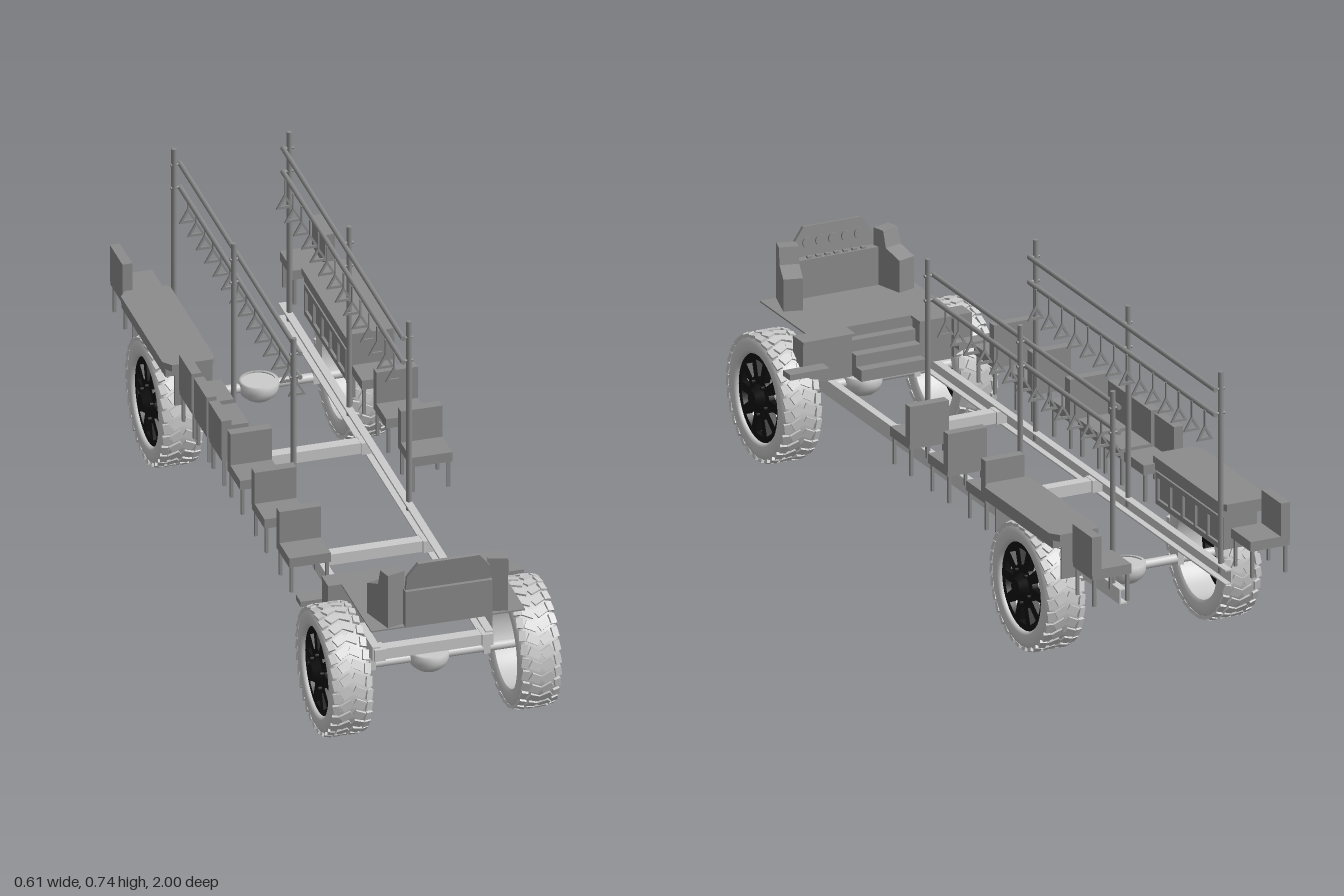
import * as THREE from 'three';
import { mergeGeometries } from 'three/addons/utils/BufferGeometryUtils.js';

const light = new THREE.MeshStandardMaterial({ color: 0xcccccc, side: THREE.DoubleSide });
const dark = new THREE.MeshStandardMaterial({ color: 0x8c8c8c, side: THREE.DoubleSide });
const black = new THREE.MeshStandardMaterial({ color: 0x111111 });

function add(parent, name, geo, mat, x = 0, y = 0, z = 0) {
  const m = new THREE.Mesh(geo, mat);
  m.name = name;
  m.position.set(x, y, z);
  parent.add(m);
  return m;
}

// Box given by its lower and upper limits
function box(parent, name, mat, x0, x1, y0, y1, z0, z1) {
  return add(parent, name, new THREE.BoxGeometry(Math.abs(x1 - x0), y1 - y0, z1 - z0), mat,
    (x0 + x1) / 2, (y0 + y1) / 2, (z0 + z1) / 2);
}

// Round bar between two points
function rod(parent, name, mat, a, b, r, sides = 10) {
  const p = new THREE.Vector3(...a), d = new THREE.Vector3(...b).sub(p);
  const m = add(parent, name, new THREE.CylinderGeometry(r, r, d.length(), sides), mat);
  m.position.copy(p).addScaledVector(d, 0.5);
  m.quaternion.setFromUnitVectors(new THREE.Vector3(0, 1, 0), d.normalize());
  return m;
}

const pts = list => list.map(p => new THREE.Vector2(...p));

// Wheel whose axis is local y; +y is the outer side
function makeWheel() {
  const wheel = new THREE.Group();
  const tyre = pts([[0.114, -0.045], [0.122, -0.052], [0.142, -0.053], [0.156, -0.047], [0.161, -0.036],
    [0.163, 0], [0.161, 0.036], [0.156, 0.047], [0.142, 0.053], [0.122, 0.052], [0.114, 0.045], [0.112, 0], [0.114, -0.045]]);
  add(wheel, 'tyre', new THREE.LatheGeometry(tyre, 56), light);
  // Chevron tread: slanted centre bars and shoulder blocks
  const blocks = [], n = 30;
  for (let i = 0; i < n; i++) for (const s of [-1, 1]) {
    const centre = new THREE.BoxGeometry(0.007, 0.031, 0.022);
    centre.rotateX(s * 0.5).translate(0.1635, s * 0.016, 0);
    const shoulder = new THREE.BoxGeometry(0.009, 0.017, 0.026);
    shoulder.rotateZ(s * 0.25).rotateX(s * 0.15).translate(0.160, s * 0.042, 0.011);
    for (const g of [centre, shoulder]) blocks.push(g.rotateY(i / n * Math.PI * 2));
  }
  add(wheel, 'tread', mergeGeometries(blocks), light);
  // Spoked rim
  const face = new THREE.Shape().absarc(0, 0, 0.114, 0, Math.PI * 2);
  for (let i = 0; i < 10; i++) {
    const a = i / 10 * Math.PI * 2, hole = new THREE.Path();
    hole.absarc(0, 0, 0.098, a - 0.19, a + 0.19, false);
    hole.absarc(0, 0, 0.056, a + 0.1, a - 0.1, true);
    hole.closePath();
    face.holes.push(hole);
  }
  const rim = new THREE.ExtrudeGeometry(face, { depth: 0.016, bevelEnabled: false, curveSegments: 40 });
  add(wheel, 'rim', rim.rotateX(-Math.PI / 2), black, 0, 0.025, 0);
  add(wheel, 'hub', new THREE.CylinderGeometry(0.022, 0.036, 0.022, 24), black, 0, 0.051, 0);
  for (let i = 0; i < 5; i++) {
    const a = i / 5 * Math.PI * 2;
    add(wheel, 'wheelNut', new THREE.CylinderGeometry(0.005, 0.005, 0.01, 6), black, 0.044 * Math.cos(a), 0.045, 0.044 * Math.sin(a));
  }
  return wheel;
}

// Axle with open differential bowl and spring brackets
function makeAxle(z) {
  const axle = new THREE.Group();
  axle.name = 'axle';
  rod(axle, 'axleTube', light, [-0.25, 0.17, 0], [0.25, 0.17, 0], 0.012, 16);
  const bowl = [[0.043, 0.186], [0.051, 0.186], [0.051, 0.166], [0.045, 0.15], [0.031, 0.138], [0.014, 0.133], [0, 0.132]];
  add(axle, 'differential', new THREE.LatheGeometry(pts(bowl), 28), light);
  add(axle, 'differentialCover', new THREE.CylinderGeometry(0.044, 0.044, 0.004, 28), light, 0, 0.18, 0);
  for (const s of [-1, 1]) {
    box(axle, 'springBracket', light, s * 0.14, s * 0.157, 0.156, 0.195, -0.012, 0.012);
    const w = makeWheel();
    w.name = 'wheel';
    w.position.set(s * 0.245, 0.17, 0);
    w.rotation.z = -s * Math.PI / 2;
    axle.add(w);
  }
  axle.position.z = z;
  return axle;
}

// Seat facing +z before turning
function makeSeat(x, z, turn) {
  const seat = new THREE.Group();
  seat.name = 'seat';
  box(seat, 'cushion', dark, -0.054, 0.054, 0.308, 0.334, -0.054, 0.054);
  box(seat, 'backrest', dark, -0.054, 0.054, 0.32, 0.422, -0.056, -0.03);
  for (const lx of [-0.046, 0.046]) for (const lz of [-0.046, 0.046])
    box(seat, 'seatLeg', dark, lx - 0.004, lx + 0.004, 0.235, 0.31, lz - 0.004, lz + 0.004);
  seat.position.set(x, 0, z);
  seat.rotation.y = turn;
  return seat;
}

// Poles, grab bars and hanging handles for one side
function makeHandrail(s) {
  const rail = new THREE.Group();
  rail.name = 'handrail';
  for (const z of [0.16, -0.352, -0.863]) {
    rod(rail, 'pole', dark, [s * 0.15, 0.21, z], [s * 0.15, 0.745, z], 0.007);
    for (const y of [0.635, 0.7]) rod(rail, 'barClamp', dark, [s * 0.16, y, z], [s * 0.133, y, z], 0.004);
  }
  for (const y of [0.633, 0.7]) rod(rail, 'grabBar', dark, [s * 0.134, y, 0.165], [s * 0.134, y, -0.868], 0.0065);
  const tri = new THREE.Shape(pts([[-0.023, 0.553], [0.023, 0.553], [0, 0.594]]));
  tri.holes.push(new THREE.Path(pts([[-0.013, 0.56], [0, 0.582], [0.013, 0.56]])));
  const handle = new THREE.ExtrudeGeometry(tri, { depth: 0.005, bevelEnabled: false });
  for (let i = 0; i < 14; i++) {
    const z = 0.11 - i * 0.0718;
    box(rail, 'strap', dark, s * 0.126 - 0.0015, s * 0.126 + 0.0015, 0.59, 0.633, z - 0.003, z + 0.003);
    add(rail, 'handle', handle, dark, s * 0.126, 0, z - 0.0025);
  }
  return rail;
}

// Rear wheel housing: chamfered top, panelled inner wall, end walls
function makeHousing(s) {
  const h = new THREE.Group();
  h.name = 'wheelHousing';
  const top = new THREE.Shape(pts([[0.17, 0.45], [0.18, 0.437], [0.285, 0.437], [0.303, 0.46], [0.303, 0.815],
    [0.285, 0.838], [0.18, 0.838], [0.17, 0.825]].map(([x, z]) => [s * x, z])));
  const plate = new THREE.ExtrudeGeometry(top, { depth: 0.018, bevelEnabled: false });
  add(h, 'housingTop', plate.rotateX(-Math.PI / 2), dark, 0, 0.358, 0);
  box(h, 'housingTrim', dark, s * 0.176, s * 0.298, 0.338, 0.358, -0.825, -0.45);
  box(h, 'innerWall', dark, s * 0.18, s * 0.187, 0.248, 0.345, -0.815, -0.458);
  for (const y of [0.25, 0.322]) box(h, 'wallRail', dark, s * 0.173, s * 0.182, y, y + 0.014, -0.815, -0.458);
  for (let i = 0; i < 6; i++) {
    const z = -0.815 + i * 0.0694;
    box(h, 'wallRib', dark, s * 0.173, s * 0.182, 0.25, 0.335, z, z + 0.01);
  }
  for (const z of [-0.818, -0.457]) box(h, 'endWall', dark, s * 0.18, s * 0.272, 0.25, 0.345, z - 0.003, z + 0.003);
  return h;
}

// Driver's platform with rear steps and instrument console
function makeCab() {
  const cab = new THREE.Group();
  cab.name = 'cab';
  box(cab, 'platform', dark, -0.2, 0.2, 0.353, 0.357, 0.73, 0.99);
  for (let i = 0; i < 3; i++) {
    const y = 0.329 - i * 0.03, z = 0.712 - i * 0.029;
    box(cab, 'step', dark, -0.09, 0.09, y - 0.03, y, z - 0.007, 0.74);
  }
  box(cab, 'stepBack', dark, -0.235, 0.235, 0.24, 0.354, 0.73, 0.736);
  for (const s of [-1, 1]) {
    box(cab, 'platformWing', dark, s * 0.09, s * 0.235, 0.35, 0.357, 0.68, 0.736);
    box(cab, 'stepSide', dark, s * 0.094, s * 0.182, 0.24, 0.352, 0.69, 0.732);
    box(cab, 'sideStep', dark, s * 0.18, s * 0.29, 0.278, 0.293, 0.643, 0.682);
    box(cab, 'sideStepRiser', dark, s * 0.185, s * 0.235, 0.245, 0.352, 0.682, 0.73);
    // Side console: tall front part and lower sloping part
    const profile = new THREE.Shape(pts([[0, 0.357], [0, 0.505], [0.035, 0.505], [0.045, 0.462], [0.095, 0.442], [0.095, 0.357]]));
    const wing = add(cab, 'sideConsole', new THREE.ExtrudeGeometry(profile, { depth: 0.05, bevelEnabled: false })
      .translate(0, 0, -0.025).rotateY(Math.PI / 2), dark, s * 0.132, 0, 0.98);
    wing.rotation.y = -s * 0.28;
  }
  box(cab, 'consoleBase', dark, -0.113, 0.113, 0.357, 0.458, 0.955, 0.998);
  const panel = new THREE.Shape(pts([[-0.11, 0], [0.11, 0], [0.108, 0.04], [0.08, 0.077], [-0.08, 0.077], [-0.108, 0.04]]));
  const dash = add(cab, 'instrumentPanel', new THREE.ExtrudeGeometry(panel, { depth: 0.01, bevelEnabled: false }), dark, 0, 0.457, 0.978);
  dash.rotation.x = 0.12;
  for (let i = -2; i <= 2; i++) {
    const dial = add(dash, 'dial', new THREE.CylinderGeometry(0.014, 0.014, 0.006, 20), dark, i * 0.036, 0.036, -0.002);
    dial.rotation.x = Math.PI / 2;
  }
  for (let i = -3; i <= 3; i++) box(cab, 'switch', dark, i * 0.025 - 0.006, i * 0.025 + 0.006, 0.458, 0.463, 0.96, 0.97);
  return cab;
}

export function createModel() {
  const model = new THREE.Group();
  model.name = 'busChassis';

  // Ladder frame of channel rails
  for (const s of [-1, 1]) {
    box(model, 'railWeb', light, s * 0.153, s * 0.157, 0.195, 0.235, -0.915, 0.86);
    for (const y of [0.195, 0.231]) box(model, 'railFlange', light, s * 0.137, s * 0.157, y, y + 0.004, -0.915, 0.86);
  }
  for (const z of [0.85, 0.345, -0.185]) {
    box(model, 'crossMember', light, -0.154, 0.154, 0.2, 0.23, z - 0.015, z + 0.015);
    for (const s of [-1, 1]) box(model, 'crossMemberEnd', light, s * 0.125, s * 0.154, 0.199, 0.231, z - 0.02, z + 0.02);
  }
  model.add(makeAxle(0.822), makeAxle(-0.635));

  for (const s of [-1, 1]) {
    model.add(makeHandrail(s), makeHousing(s));
    model.add(makeSeat(s * 0.22, -0.944, -s * Math.PI / 2));
  }
  // Forward-facing seats, then inward-facing ones
  for (const z of [0.478, 0.266, 0.058]) model.add(makeSeat(-0.22, z, 0));
  for (const z of [0.068, -0.142, -0.35]) model.add(makeSeat(0.22, z, 0));
  for (const z of [-0.097, -0.225, -0.352]) model.add(makeSeat(-0.22, z, Math.PI / 2));

  model.add(makeCab());
  return model;
}
